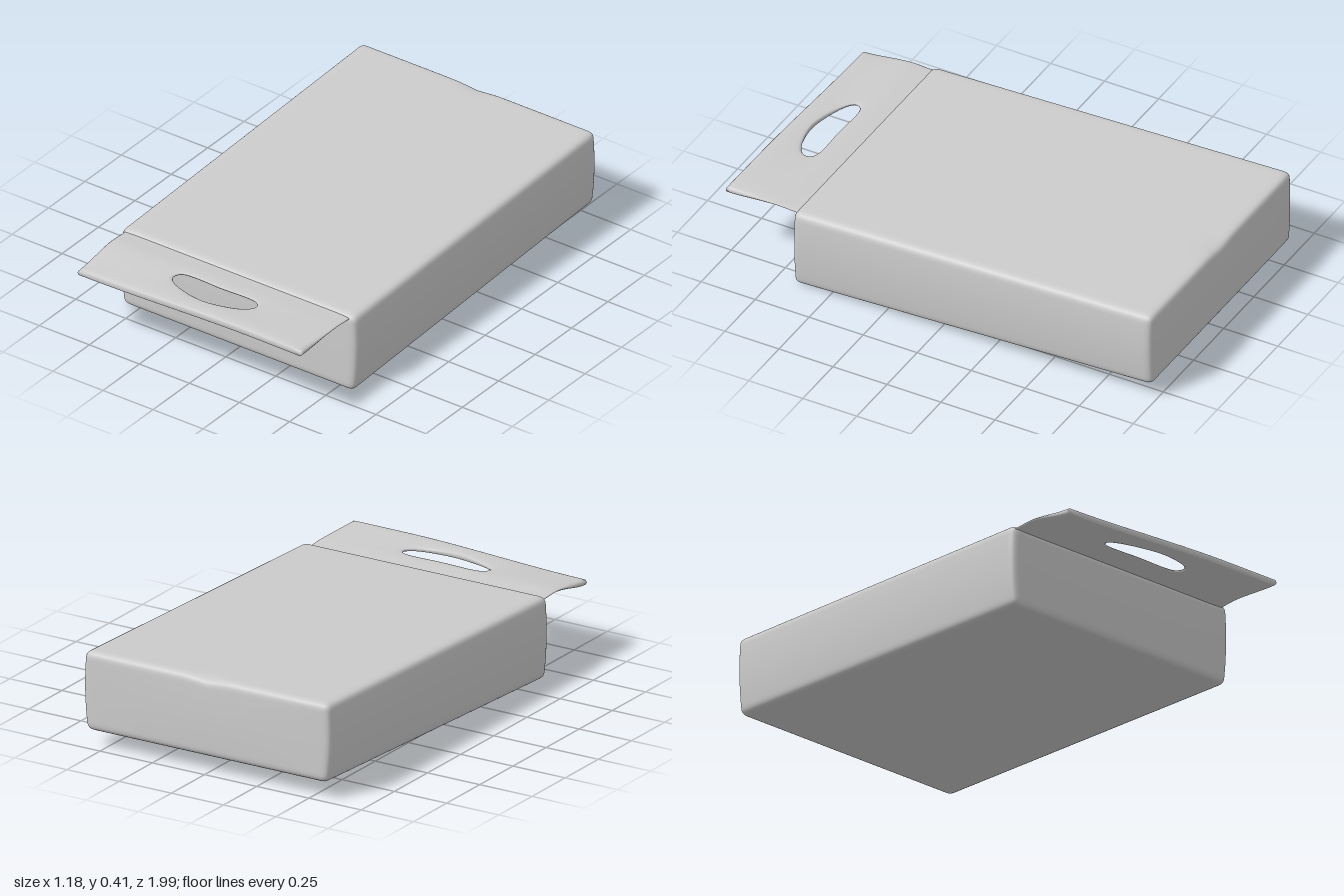
import * as THREE from 'three';
import { mergeVertices } from 'three/addons/utils/BufferGeometryUtils.js';

const { lerp, clamp, smoothstep } = THREE.MathUtils;
const material = new THREE.MeshStandardMaterial({ color: 0xcccccc, side: THREE.DoubleSide });

// Soft-edged carton whose top and bottom rise gently towards the back
function cartonGeometry() {
  let geo = new THREE.BoxGeometry(2, 2, 2, 36, 24, 44);
  geo.deleteAttribute('uv');
  geo.deleteAttribute('normal');
  geo = mergeVertices(geo);
  const pos = geo.attributes.position;
  const half = new THREE.Vector3(0.585, 0.178, 0.83);
  const radius = 0.03;
  const p = new THREE.Vector3(), core = new THREE.Vector3();
  for (let i = 0; i < pos.count; i++) {
    p.fromBufferAttribute(pos, i);
    // crowd the rows near the edges, then round them off
    for (const k of ['x', 'y', 'z']) {
      p[k] = Math.sin(p[k] * Math.PI / 2) * half[k];
      core[k] = clamp(p[k], radius - half[k], half[k] - radius);
    }
    p.sub(core).setLength(radius).add(core);
    const u = p.x / half.x, v = p.y / half.y, w = p.z / half.z;
    // walls puff out slightly at mid height, narrower at the foot
    const x = p.x * (1.01 - 0.018 * v * v + 0.006 * v);
    const z = p.z - 0.16 + 0.005 * w * (1 - v * v) * (1 - u * u);
    // floor and lid slopes
    const f = (z + 0.99) / 1.66;
    const low = lerp(0.078, 0.004, f), high = lerp(0.42, 0.362, f);
    // small dent in the middle of the rear top edge
    const dent = 0.01 * Math.exp(-((x / 0.06) ** 2) - ((z + 0.99) / 0.05) ** 2) * (v > 0 ? 1 : 0);
    pos.setXYZ(i, x, lerp(low, high, (v + 1) / 2) - dent, z);
  }
  geo.computeVertexNormals();
  return geo;
}

// Flat hang tab, lofted as a ring between the hand hole and its outer outline
function tabGeometry() {
  const hole = new THREE.CatmullRomCurve3([
    [-0.19, 0.79], [0, 0.785], [0.18, 0.79], [0.2, 0.82],
    [0.17, 0.86], [0, 0.903], [-0.17, 0.86], [-0.208, 0.825],
  ].map(([x, z]) => new THREE.Vector3(x, 0, z)), true);
  const outer = [
    [-0.57, 0.62], [0, 0.62], [0.555, 0.62], [0.555, 0.82],
    [0.555, 0.995], [0, 0.99], [-0.57, 0.985], [-0.57, 0.82],
  ];
  const per = 10, around = outer.length * per, section = 28;
  const verts = [], index = [];
  for (let i = 0; i < around; i++) {
    const h = hole.getPoint(i / around);
    const k = Math.floor(i / per), f = (i % per) / per;
    const a = outer[k], b = outer[(k + 1) % outer.length];
    const ox = lerp(a[0], b[0], f), oz = lerp(a[1], b[1], f);
    for (let j = 0; j < section; j++) {
      const phi = j / section * Math.PI * 2;
      const t = (1 - Math.cos(phi)) / 2, s = Math.sin(phi);
      const x = lerp(h.x, ox, t), z = lerp(h.z, oz, t);
      // sheet dips at the front, more so on the right, and thickens into a lip
      const front = smoothstep(z, 0.74, 1.0);
      const mid = 0.346 + 0.004 * smoothstep(z, 0.66, 0.76)
        - front * lerp(0.034, 0.008, smoothstep(x, -0.57, 0.3));
      const thick = 0.006 + 0.013 * front;
      verts.push(x, mid + thick * Math.sign(s) * Math.abs(s) ** 0.4, z);
      const i2 = (i + 1) % around, j2 = (j + 1) % section;
      const p = i * section + j, q = i2 * section + j;
      const r = i2 * section + j2, o = i * section + j2;
      index.push(p, q, o, q, r, o);
    }
  }
  const geo = new THREE.BufferGeometry();
  geo.setAttribute('position', new THREE.Float32BufferAttribute(verts, 3));
  geo.setIndex(index);
  geo.computeVertexNormals();
  return geo;
}

export function createModel() {
  const model = new THREE.Group();
  model.name = 'hangingCarton';
  const add = (name, geometry) => {
    const mesh = new THREE.Mesh(geometry, material);
    mesh.name = name;
    model.add(mesh);
  };
  add('carton', cartonGeometry());
  add('hangTab', tabGeometry());
  return model;
}
